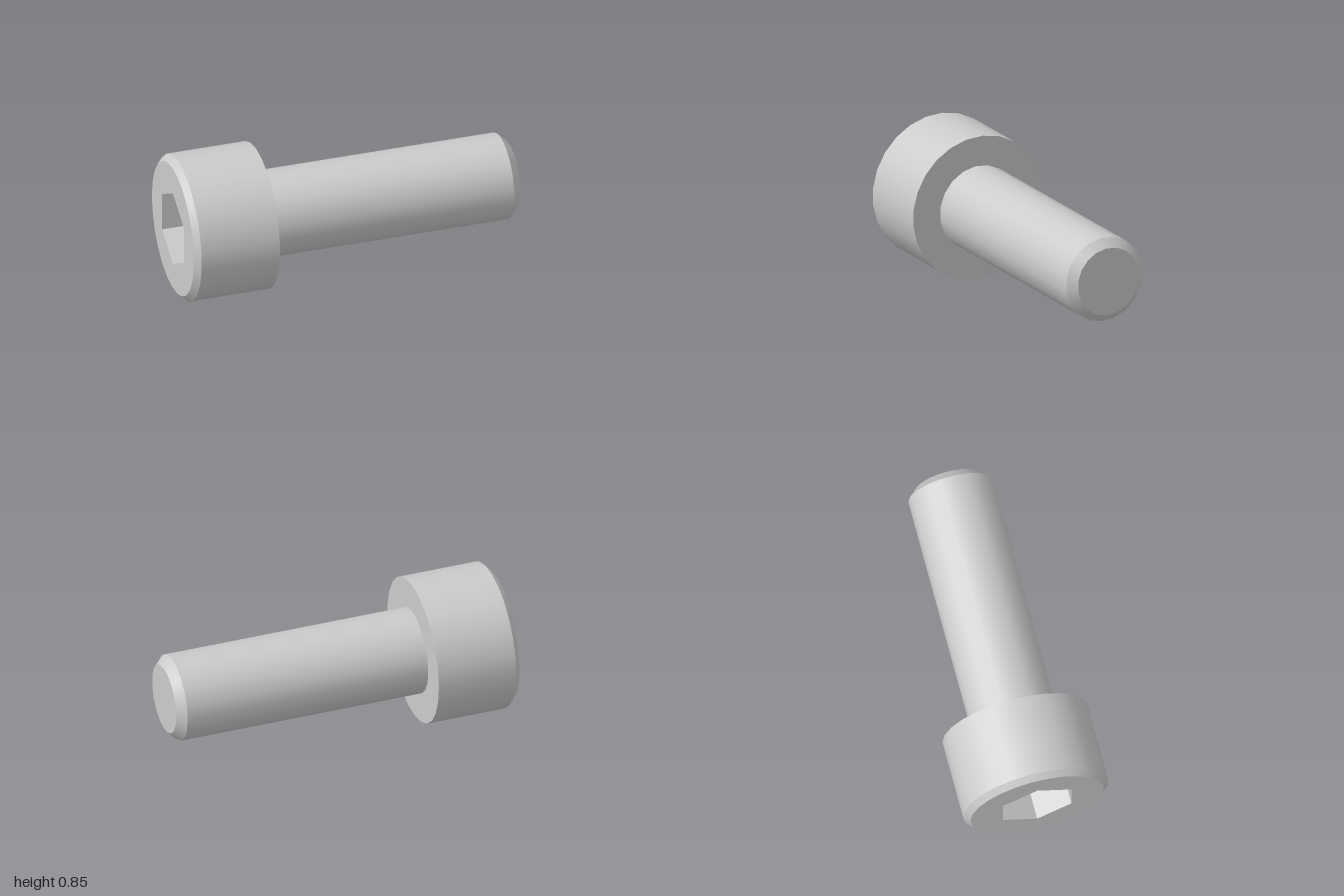
import * as THREE from 'three';

const HEAD_SIDES = 25, SHANK_SIDES = 19;
const HEAD_R = 0.425, HEAD_RIM_R = 0.39, SHANK_R = 0.25, TIP_R = 0.2;
const HEX_R = 0.4 / Math.sqrt(3);

// Regular polygon in the (z, y) plane, first corner at angle start
function polygon(r, sides, start) {
  return Array.from({ length: sides }, (_, i) => {
    const a = start + (i / sides) * Math.PI * 2;
    return new THREE.Vector2(Math.cos(a) * r, Math.sin(a) * r);
  });
}

// Flat face across the axis at x, facing +x (dir 1) or -x (dir -1)
function face(outer, hole, x, dir) {
  const shape = new THREE.Shape(outer);
  if (hole) shape.holes.push(new THREE.Path(hole));
  const g = new THREE.ShapeGeometry(shape);
  g.rotateY(-Math.PI / 2);
  if (dir > 0) {
    g.index.array.reverse();
    g.computeVertexNormals();
  }
  return g.translate(x, 0, 0);
}

// Open band around the x axis from (x0, r0) to (x1, r1)
function band(x0, r0, x1, r1, sides, start = Math.PI) {
  const g = new THREE.CylinderGeometry(r1, r0, x1 - x0, sides, 1, true, start);
  return g.rotateZ(-Math.PI / 2).translate((x0 + x1) / 2, 0, 0);
}

export function createModel() {
  const model = new THREE.Group();
  model.name = 'socketHeadScrew';
  const smooth = new THREE.MeshStandardMaterial({ color: 0xcccccc });
  const group = (name) => {
    const g = new THREE.Group();
    g.name = name;
    model.add(g);
    return g;
  };
  const add = (parent, name, geometry) => {
    const m = new THREE.Mesh(geometry, smooth);
    m.name = name;
    parent.add(m);
  };

  const shankOutline = polygon(SHANK_R, SHANK_SIDES, Math.PI);
  const hexOutline = polygon(HEX_R, 6, Math.PI / 2);

  // Head with chamfered rim
  const head = group('head');
  add(head, 'headSide', band(-0.965, HEAD_R, -0.5, HEAD_R, HEAD_SIDES));
  add(head, 'headChamfer', band(-1, HEAD_RIM_R, -0.965, HEAD_R, HEAD_SIDES));
  add(head, 'headTop', face(polygon(HEAD_RIM_R, HEAD_SIDES, Math.PI), hexOutline, -1, -1));
  add(head, 'headUnderside', face(polygon(HEAD_R, HEAD_SIDES, Math.PI), shankOutline, -0.5, 1));

  // Hexagonal socket, walls turned inward
  const socket = group('hexSocket');
  const walls = band(-1, HEX_R, -0.75, HEX_R, 6, Math.PI / 2);
  walls.index.array.reverse();
  const flatWalls = walls.toNonIndexed();
  flatWalls.computeVertexNormals();
  add(socket, 'socketWalls', flatWalls);
  add(socket, 'socketFloor', face(hexOutline, null, -0.75, -1));

  // Plain shank with chamfered tip
  const shank = group('shank');
  add(shank, 'shankSide', band(-0.5, SHANK_R, 0.95, SHANK_R, SHANK_SIDES));
  add(shank, 'tipChamfer', band(0.95, SHANK_R, 1, TIP_R, SHANK_SIDES));
  add(shank, 'tipFace', face(polygon(TIP_R, SHANK_SIDES, Math.PI), null, 1, 1));

  // Rest the head on the ground and centre its odd-sided outline
  for (const part of model.children) part.position.set(0, 0.424, 0.0017);
  return model;
}
